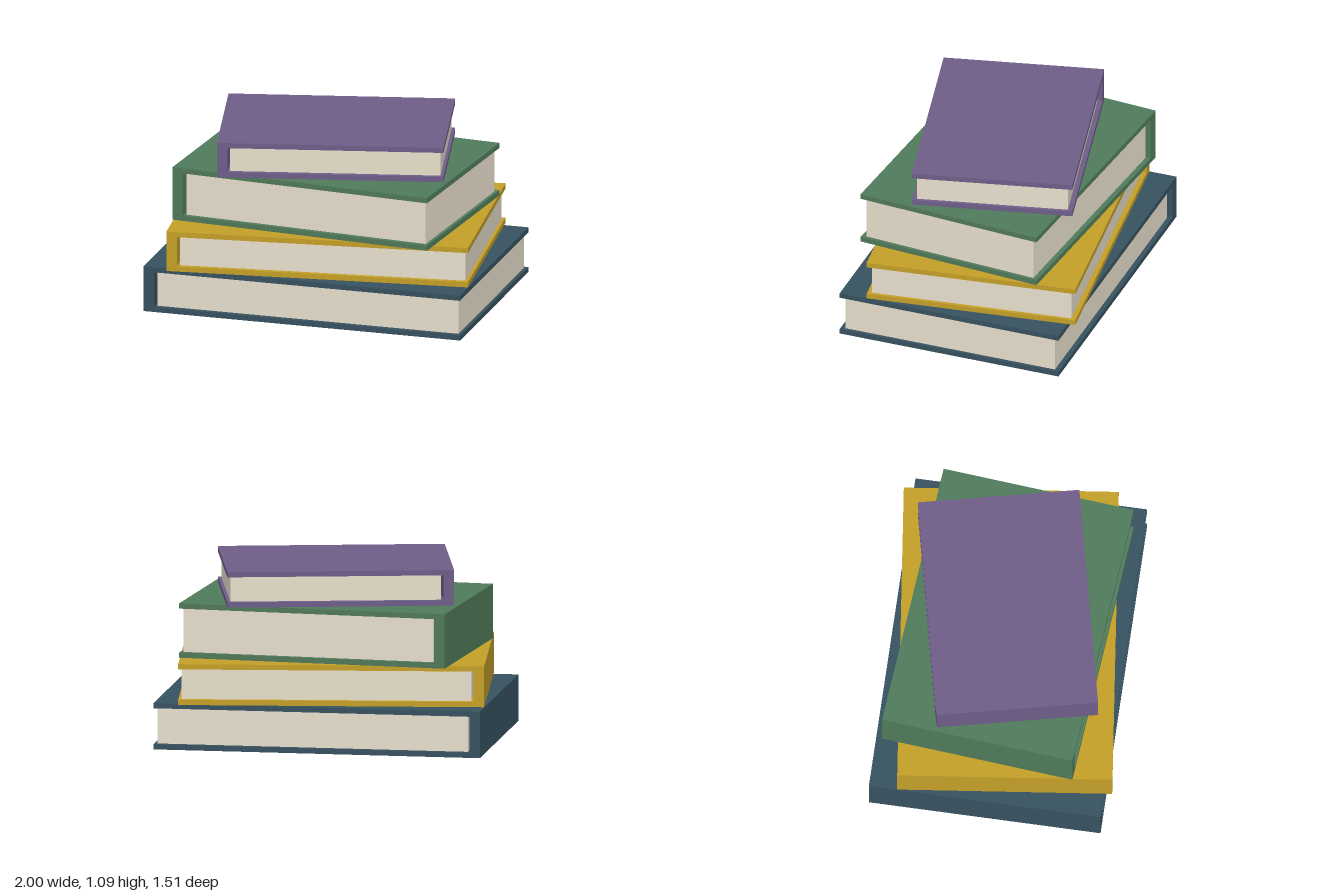
import * as THREE from 'three';

const COVER = 0.032, SPINE = 0.065, GAP = 0.013, INSET = 0.02, MARGIN = 0.03;

// One closed hardback lying flat: spine on -x, fore edge on +x, base at y = 0
function makeBook(name, width, height, depth, coverMaterial, pageMaterial) {
  const book = new THREE.Group();
  book.name = name;
  const w = width / 2;

  // Boards and spine as one C-shaped profile run along the depth
  const profile = new THREE.Shape([
    [-w, 0], [w, 0], [w, COVER], [-w + SPINE, COVER],
    [-w + SPINE, height - COVER], [w, height - COVER], [w, height], [-w, height],
  ].map(([x, y]) => new THREE.Vector2(x, y)));
  const caseGeometry = new THREE.ExtrudeGeometry(profile, { depth, bevelEnabled: false });
  caseGeometry.translate(0, 0, -depth / 2);
  const cover = new THREE.Mesh(caseGeometry, coverMaterial);
  cover.name = 'coverAndSpine';

  // Page block, set in from the boards with a narrow gap at the spine
  const left = -w + SPINE + GAP, right = w - INSET;
  const pages = new THREE.Mesh(
    new THREE.BoxGeometry(right - left, height - 2 * COVER, depth - 2 * MARGIN), pageMaterial);
  pages.position.set((left + right) / 2, height / 2, 0);
  pages.name = 'pages';

  book.add(cover, pages);
  return book;
}

export function createModel() {
  const model = new THREE.Group();
  model.name = 'bookStack';
  const material = (name, color) => {
    const m = new THREE.MeshStandardMaterial({ color });
    m.name = name;
    return m;
  };
  const paper = material('paper', 0xe8dfcc);

  // Bottom to top: name, width, height, depth, turn, colour
  const books = [
    ['blueBook', 2.0, 0.284, 1.415, 0, material('darkBlue', 0x375260)],
    ['yellowBook', 1.852, 0.25, 1.3, 0.12, material('mustard', 0xc49f28)],
    ['greenBook', 1.657, 0.333, 1.18, -0.085, material('green', 0x507a5a)],
    ['purpleBook', 1.374, 0.218, 0.98, 0.224, material('purple', 0x6e5d88)],
  ];
  let y = 0;
  for (const [name, width, height, depth, turn, cover] of books) {
    const book = makeBook(name, width, height, depth, cover, paper);
    book.position.y = y;
    book.rotation.y = turn;
    model.add(book);
    y += height;
  }
  return model;
}
